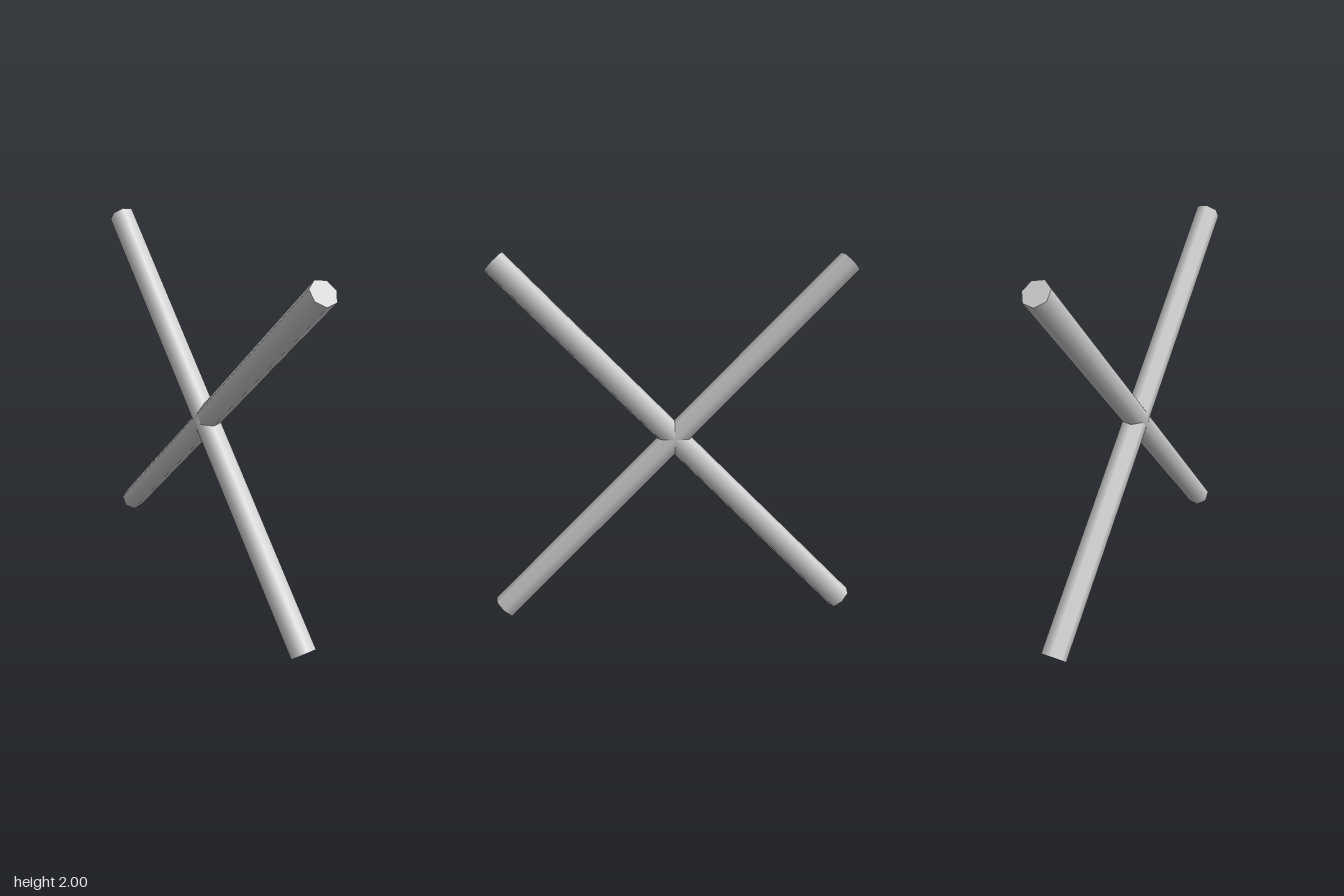
import * as THREE from 'three';

const SIDES = 7;
const RADIUS = 0.0711;
const LENGTH = 2.69;

export function createModel() {
  const model = new THREE.Group();
  model.name = 'crossedBars';
  const material = new THREE.MeshStandardMaterial({ color: 0xcccccc });

  // Seven-sided bar with one edge towards +x, centred on its bounds
  const geometry = new THREE.CylinderGeometry(RADIUS, RADIUS, LENGTH, SIDES, 1, false, Math.PI / 2);
  geometry.translate(-RADIUS * (1 - Math.cos(Math.PI / SIDES)) / 2, 0, 0);

  // Two equal bars crossing at right angles in the yz plane
  for (const [name, tilt] of [['forwardBar', 1], ['backwardBar', -1]]) {
    const bar = new THREE.Mesh(geometry, material);
    bar.name = name;
    bar.position.y = 1;
    bar.rotation.x = tilt * Math.PI / 4;
    model.add(bar);
  }
  return model;
}
